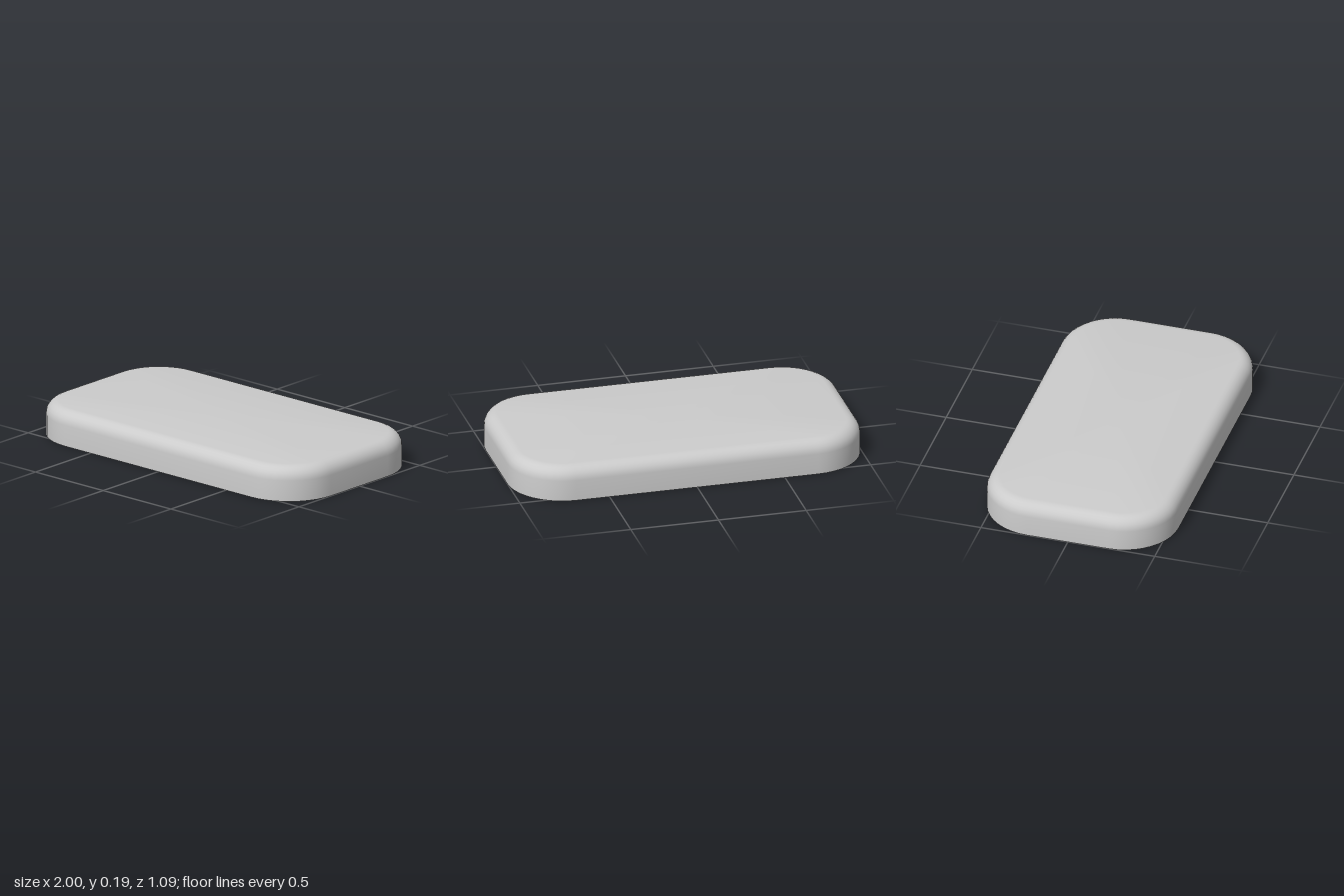
import * as THREE from 'three';
import { toCreasedNormals } from 'three/addons/utils/BufferGeometryUtils.js';

const HALF_X = 1, HALF_Z = 0.545, HEIGHT = 0.195, CORNER = 0.31;
const WALL = 0.035, FILLET = 0.075, CORNER_STEPS = 10;

// Rounded-rectangle ring at height y, drawn in from the outer wall by inset
function ring(inset, y) {
  const r = CORNER - inset, points = [];
  for (let c = 0; c < 4; c++) {
    const cx = (c === 0 || c === 3 ? 1 : -1) * (HALF_X - CORNER);
    const cz = (c < 2 ? 1 : -1) * (HALF_Z - CORNER);
    for (let i = 0; i <= CORNER_STEPS; i++) {
      const a = (c + i / CORNER_STEPS) * Math.PI / 2;
      points.push([cx + r * Math.cos(a), y, cz + r * Math.sin(a)]);
    }
  }
  return points;
}

// Skin through [inset, y] rings; optionally closed by a flat panel on the last ring
function skin(name, profile, material, closed) {
  const rings = profile.map(([inset, y]) => ring(inset, y));
  const n = rings[0].length, index = [];
  for (let k = 0; k < rings.length - 1; k++) {
    for (let i = 0; i < n; i++) {
      const j = (i + 1) % n, a = k * n + i, b = k * n + j;
      index.push(a, a + n, b, b, a + n, b + n);
    }
  }
  const points = rings.flat();
  if (closed) {
    const last = (rings.length - 1) * n, centre = points.length;
    points.push([0, profile[profile.length - 1][1], 0]);
    for (let i = 0; i < n; i++) index.push(last + i, centre, last + (i + 1) % n);
  }
  // Inner skins run downwards in sight, so their faces are turned over
  if (name === 'innerShell') index.reverse();
  const geometry = new THREE.BufferGeometry();
  geometry.setAttribute('position', new THREE.Float32BufferAttribute(points.flat(), 3));
  geometry.setIndex(index);
  const mesh = new THREE.Mesh(toCreasedNormals(geometry, 0.5), material);
  mesh.name = name;
  return mesh;
}

// Quarter-round edge from the wall up to the flat panel
function fillet(wallInset, top, radius) {
  const steps = 6, profile = [];
  for (let i = 0; i <= steps; i++) {
    const a = i / steps * Math.PI / 2;
    profile.push([wallInset + radius * (1 - Math.cos(a)), top - radius * (1 - Math.sin(a))]);
  }
  return profile;
}

export function createModel() {
  const group = new THREE.Group();
  group.name = 'traylid';
  const material = new THREE.MeshStandardMaterial({ color: 0xcccccc });

  // Outer wall, rounded edge and top panel
  group.add(skin('outerShell', [[0, 0], ...fillet(0, HEIGHT, FILLET)], material, true));
  // Hollow underside: inner wall, rounded edge and ceiling
  group.add(skin('innerShell',
    [[WALL, 0], ...fillet(WALL, HEIGHT - WALL, FILLET - WALL)], material, true));
  // Flat rim joining both shells at the bottom
  group.add(skin('rim', [[WALL, 0], [0, 0]], material, false));
  return group;
}
